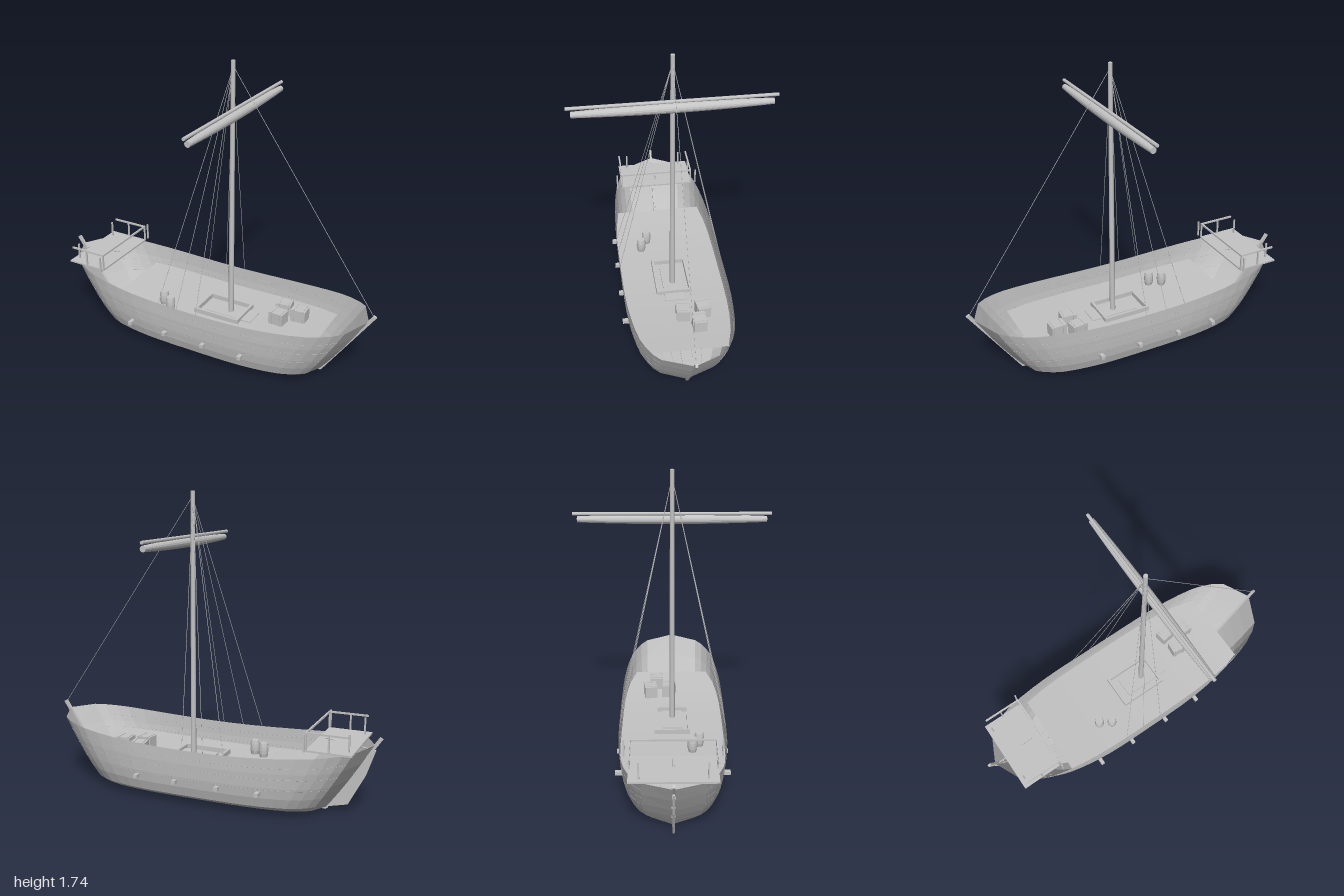
import * as THREE from 'three';

const grey = new THREE.MeshStandardMaterial({ color: 0xc4c4c4, side: THREE.DoubleSide });
grey.name = 'pale grey';

// Hull rules: half breadth along the length, and one cross-section
const STATIONS = [0, 0.15, 0.3, 0.42, 0.53, 0.63, 0.73, 0.8, 0.87, 0.92, 1];
const BREADTH = [1, 1, 0.995, 0.98, 0.95, 0.91, 0.85, 0.775, 0.665, 0.54, 0];
const SECTION = [[0, 0.012], [0.21, 0.02], [0.27, 0.055], [0.288, 0.11], [0.298, 0.17], [0.304, 0.25], [0.305, 0.33]];

function lerpTable(xs, ys, x) {
  let i = 1;
  while (i < xs.length - 1 && x > xs[i]) i++;
  const k = (x - xs[i - 1]) / (xs[i] - xs[i - 1]);
  return ys[i - 1] + (ys[i] - ys[i - 1]) * k;
}
const sectionZ = (y) => lerpTable(SECTION.map(p => p[1]), SECTION.map(p => p[0]), y);

// Point on the hull skin: s runs -1 (stern) to 1 (bow), y is the midship height
function hullPoint(s, y, side) {
  const f = y / 0.33;
  const z = sectionZ(y) * lerpTable(STATIONS, BREADTH, Math.abs(s));
  return new THREE.Vector3(s * (0.69 + 0.268 * f), y + 0.07 * s * s * f * f, z * side);
}

// Skin through rows of points, with flat facets
function loft(rows) {
  const pos = [];
  for (let i = 0; i < rows.length - 1; i++) {
    for (let j = 0; j < rows[i].length - 1; j++) {
      const a = rows[i][j], b = rows[i + 1][j], c = rows[i + 1][j + 1], d = rows[i][j + 1];
      for (const p of [a, c, b, a, d, c]) pos.push(p.x, p.y, p.z);
    }
  }
  const g = new THREE.BufferGeometry();
  g.setAttribute('position', new THREE.Float32BufferAttribute(pos, 3));
  g.computeVertexNormals();
  return g;
}

function add(parent, name, geometry, x = 0, y = 0, z = 0) {
  const m = new THREE.Mesh(geometry, grey);
  m.name = name;
  m.position.set(x, y, z);
  parent.add(m);
  return m;
}
const box = (parent, name, w, h, d, x, y, z) => add(parent, name, new THREE.BoxGeometry(w, h, d), x, y, z);

// Turned part with flat facets
function turned(points, sides) {
  const g = new THREE.LatheGeometry(points.map(p => new THREE.Vector2(...p)), sides).toNonIndexed();
  g.computeVertexNormals();
  return g;
}

// Round bar between two points
function bar(parent, name, a, b, r0, r1 = r0, sides = 8) {
  const from = new THREE.Vector3(...a), dir = new THREE.Vector3(...b).sub(from);
  const m = add(parent, name, new THREE.CylinderGeometry(r1, r0, dir.length(), sides));
  m.position.copy(from).addScaledVector(dir, 0.5);
  m.quaternion.setFromUnitVectors(new THREE.Vector3(0, 1, 0), dir.normalize());
  return m;
}

// Thin upright plate in the centre plane
function plate(parent, name, points, depth) {
  const shape = new THREE.Shape(points.map(p => new THREE.Vector2(...p)));
  const g = new THREE.ExtrudeGeometry(shape, { depth, bevelEnabled: false });
  return add(parent, name, g, 0, 0, -depth / 2);
}

export function createModel() {
  const ship = new THREE.Group();
  ship.name = 'sailingShip';
  const allS = [...STATIONS.slice(1).reverse().map(s => -s), ...STATIONS];

  // Hull shell, running from one rail under the keel to the other
  const around = [...SECTION.slice(1).reverse().map(p => [p[1], 1]), ...SECTION.map(p => [p[1], -1])];
  add(ship, 'hull', loft(allS.map(s => around.map(([y, side]) => hullPoint(s, y, side)))));

  // Plank seams along the sides and bottom
  for (const side of [-1, 1]) {
    for (const y of [0.0147, 0.0173, 0.16, 0.22, 0.28]) {
      const path = new THREE.CurvePath();
      const pts = allS.slice(1, -1).map(s => hullPoint(s, y, side));
      for (let i = 1; i < pts.length; i++) path.add(new THREE.LineCurve3(pts[i - 1], pts[i]));
      add(ship, 'plankSeam', new THREE.TubeGeometry(path, 60, 0.0009, 4));
    }
  }

  // Deck, following the sheer
  const deckY = (x) => 0.205 + 0.07 * x * x;
  const deckRows = [];
  for (let i = 0; i <= 10; i++) {
    const x = -0.585 + 1.28 * i / 10;
    const half = 0.3 * lerpTable(STATIONS, BREADTH, Math.abs(x) / 0.865);
    deckRows.push([-half, half].map(z => new THREE.Vector3(x, deckY(x), z)));
  }
  add(ship, 'deck', loft(deckRows));

  // Keel, stem and sternpost
  box(ship, 'keel', 1.4, 0.018, 0.012, 0, 0.009, 0);
  plate(ship, 'stem', [[0.68, 0], [0.705, 0.005], [1, 0.437], [0.982, 0.447]], 0.014);
  plate(ship, 'sternpost', [[-0.68, 0], [-0.982, 0.447], [-1, 0.437], [-0.705, 0.005]], 0.014);

  // Rudder, its hinges and tiller
  plate(ship, 'rudder', [[-0.7, 0.015], [-0.82, 0.045], [-0.915, 0.225], [-0.965, 0.37], [-0.95, 0.375]], 0.012);
  for (const [x, y] of [[-0.92, 0.335], [-0.845, 0.225], [-0.775, 0.122]]) box(ship, 'rudderHinge', 0.03, 0.008, 0.02, x, y, 0);
  bar(ship, 'tiller', [-0.95, 0.372, 0], [-0.685, 0.408, 0], 0.004);

  // Through-beams poking out of the sides
  for (const x of [-0.4, -0.165, 0.09, 0.33]) box(ship, 'throughBeam', 0.022, 0.022, 0.645, x, 0.142, 0);

  // Stern platform and railing
  box(ship, 'sternPlatform', 0.25, 0.01, 0.46, -0.765, 0.395, 0);
  for (const side of [-1, 1]) {
    for (const [x, z] of [[-0.86, 0.175], [-0.765, 0.225], [-0.64, 0.258], [-0.642, 0.226]]) {
      box(ship, 'railPost', 0.009, 0.098, 0.009, x, 0.446, z * side);
    }
    box(ship, 'sideRail', 0.23, 0.01, 0.01, -0.752, 0.493, 0.226 * side);
  }
  box(ship, 'crossRail', 0.01, 0.01, 0.46, -0.642, 0.493, 0);

  // Mast, yard and furled sail
  bar(ship, 'mast', [0.113, 0.02, 0], [0.111, 1.735, 0], 0.017, 0.012, 12);
  bar(ship, 'yard', [0.138, 1.481, -0.555], [0.138, 1.481, 0.555], 0.01);
  const roll = [[0, -0.53]];
  for (let i = 0; i <= 12; i++) {
    const u = i / 6 - 1;
    roll.push([0.017 + 0.011 * (1 - u * u), u * 0.53]);
  }
  roll.push([0, 0.53]);
  const sail = add(ship, 'furledSail', turned(roll, 16), 0.145, 1.448, 0);
  sail.rotation.x = Math.PI / 2;

  // Rigging
  bar(ship, 'forestay', [0.115, 1.7, 0], [0.982, 0.44, 0], 0.0016, 0.0016, 5);
  for (const side of [-1, 1]) {
    for (const x of [-0.205, -0.082, 0.045]) bar(ship, 'shroud', [0.11, 1.69, 0], [x, 0.33, 0.303 * side], 0.0016, 0.0016, 5);
  }

  // Hatch coaming and mast partner
  const hatch = new THREE.Group();
  hatch.name = 'hatch';
  hatch.position.set(0.065, 0.218, 0);
  ship.add(hatch);
  for (const side of [-1, 1]) {
    box(hatch, 'coamingSide', 0.29, 0.03, 0.016, 0, 0, 0.097 * side);
    box(hatch, 'coamingEnd', 0.016, 0.03, 0.2, 0.137 * side, 0, 0);
  }
  box(ship, 'mastPartner', 0.29, 0.012, 0.12, 0.125, 0.209, 0);

  // Cargo crates with slats
  for (const [x, z, turn] of [[0.4, -0.135, 0.15], [0.513, -0.098, 0.03], [0.412, -0.02, -0.1]]) {
    const crate = new THREE.Group();
    crate.name = 'crate';
    crate.position.set(x, deckY(x) + 0.037, z);
    crate.rotation.y = turn;
    ship.add(crate);
    box(crate, 'crateBody', 0.09, 0.074, 0.074, 0, 0, 0);
    for (const dx of [-0.028, 0.028]) box(crate, 'crateSlat', 0.009, 0.08, 0.081, dx, 0, 0);
  }

  // Barrels
  const stave = [[0, 0], [0.022, 0], [0.027, 0.022], [0.028, 0.042], [0.027, 0.062], [0.023, 0.084], [0, 0.084]];
  for (const [x, z] of [[-0.284, 0.112], [-0.216, 0.152]]) add(ship, 'barrel', turned(stave, 14), x, deckY(x), z);
  return ship;
}
